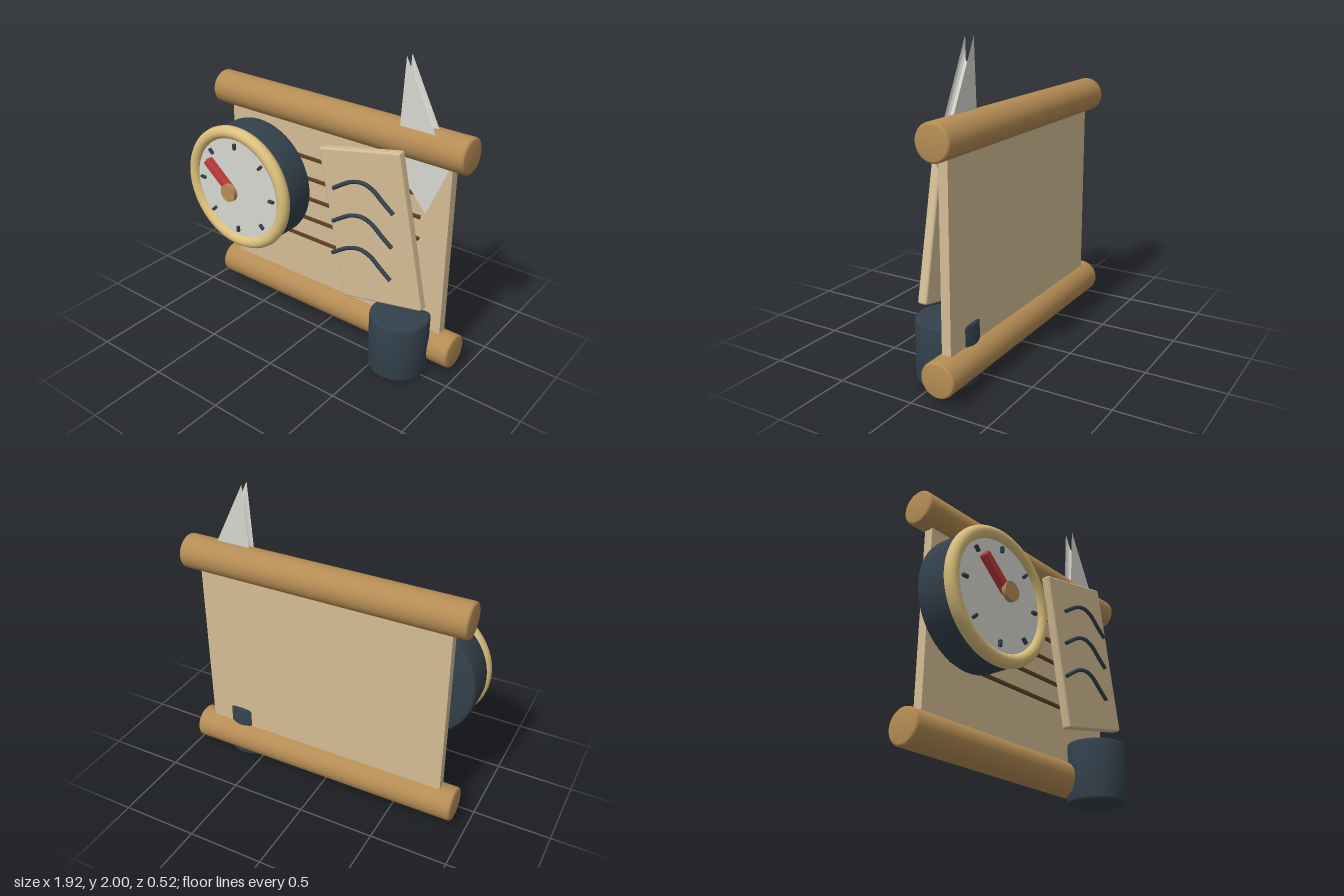
import * as THREE from 'three';
import { toCreasedNormals } from 'three/addons/utils/BufferGeometryUtils.js';
import { RoundedBoxGeometry } from 'three/addons/geometries/RoundedBoxGeometry.js';

const mat = (name, color, extra = {}) => {
  const m = new THREE.MeshStandardMaterial({ color, ...extra });
  m.name = name;
  return m;
};

// Cylinder with softened rims, axis along y, centred on the origin
function softCylinder(r, height, bevel, segments = 40) {
  const h = height / 2;
  const pts = [new THREE.Vector2(0, -h)];
  for (const s of [-1, 1]) {
    for (let i = 0; i <= 3; i++) {
      const a = (s < 0 ? i - 3 : i) * Math.PI / 6;
      pts.push(new THREE.Vector2(r - bevel + bevel * Math.cos(a), s * (h - bevel) + bevel * Math.sin(a)));
    }
  }
  pts.push(new THREE.Vector2(0, h));
  return toCreasedNormals(new THREE.LatheGeometry(pts, segments), 0.6);
}

// Kite-shaped blade with a groove running round its edge
function groovedBlade(outline, thickness, groove) {
  const cx = 0.67, cy = 1.4, rings = 6, n = outline.length;
  const pos = [], idx = [];
  for (let k = 0; k <= rings; k++) {
    const a = (k / rings) * Math.PI;
    const s = 1 - groove * Math.sin(a);
    const z = -Math.cos(a) * thickness / 2;
    for (const [x, y] of outline) pos.push(cx + (x - cx) * s, cy + (y - cy) * s, z);
  }
  for (let k = 0; k < rings; k++) {
    for (let i = 0; i < n; i++) {
      const a = k * n + i, b = k * n + (i + 1) % n;
      idx.push(a, b, b + n, a, b + n, a + n);
    }
  }
  const top = rings * n;
  for (let i = 1; i < n - 1; i++) idx.push(0, i + 1, i, top, top + i, top + i + 1);
  const g = new THREE.BufferGeometry();
  g.setAttribute('position', new THREE.Float32BufferAttribute(pos, 3));
  g.setIndex(idx);
  return toCreasedNormals(g, 0.5);
}

export function createModel() {
  const model = new THREE.Group();
  const wood = mat('wood', 0xb58c54);
  const parchment = mat('parchment', 0xd4bd94);
  const brass = mat('brass', 0xdcc07c);
  const slate = mat('slate', 0x33414c);
  const pale = mat('pale grey', 0xd6d7cf);
  const red = mat('red', 0xc03a3c);
  const ink = mat('brown ink', 0x5e4226);

  const add = (name, geometry, material, x = 0, y = 0, z = 0, parent = model) => {
    const mesh = new THREE.Mesh(geometry, material);
    mesh.name = name;
    mesh.position.set(x, y, z);
    parent.add(mesh);
    return mesh;
  };

  // Scroll: sheet, two rollers and ruled lines
  add('scrollSheet', new THREE.BoxGeometry(1.675, 1.34, 0.06), parchment, 0.022, 0.82, -0.15);
  const roller = softCylinder(0.11, 1.875, 0.015);
  for (const [name, y] of [['topRoller', 1.492], ['bottomRoller', 0.155]]) {
    add(name, roller, wood, 0.022, y, -0.15).rotation.z = Math.PI / 2;
  }
  for (let i = 0; i < 5; i++) {
    add('ruledLine', new THREE.BoxGeometry(1.32, 0.02, 0.016), ink, 0.02, 1.185 - i * 0.146, -0.1);
  }

  // Dial
  const dial = new THREE.Group();
  dial.name = 'dial';
  dial.position.set(-0.536, 0.958, 0);
  model.add(dial);
  add('dialBody', softCylinder(0.41, 0.22, 0.02, 56), slate, 0, 0, 0.03, dial).rotation.x = Math.PI / 2;
  add('dialRing', new THREE.TorusGeometry(0.384, 0.042, 16, 64), brass, 0, 0, 0.162, dial);
  add('dialFace', new THREE.CylinderGeometry(0.37, 0.37, 0.04, 56), pale, 0, 0, 0.153, dial).rotation.x = Math.PI / 2;
  for (let i = 0; i < 8; i++) {
    const a = i * Math.PI / 4;
    const tick = add('dialTick', new RoundedBoxGeometry(0.042, 0.02, 0.02, 1, 0.004), slate,
      Math.cos(a) * 0.298, Math.sin(a) * 0.298, 0.182, dial);
    tick.rotation.z = a;
  }
  const needle = add('dialNeedle', new RoundedBoxGeometry(0.26, 0.056, 0.052, 2, 0.012), red, -0.103, 0.086, 0.227, dial);
  needle.rotation.z = THREE.MathUtils.degToRad(140);
  add('dialHub', toCreasedNormals(new THREE.CylinderGeometry(0.06, 0.06, 0.03, 16), 0.6), wood, 0, 0, 0.25, dial)
    .rotation.x = Math.PI / 2;

  // Tilted tablet with three wavy strokes
  add('tablet', new RoundedBoxGeometry(0.582, 0.998, 0.062, 2, 0.014), parchment, 0.437, 0.947, 0.038)
    .rotation.z = 0.207;
  const wave = new THREE.CatmullRomCurve3([
    [0.19, 1.16], [0.245, 1.197], [0.32, 1.24], [0.4, 1.256], [0.47, 1.236], [0.55, 1.175], [0.62, 1.123],
  ].map(([x, y]) => new THREE.Vector3(x, y, 0.1)));
  for (let i = 0; i < 3; i++) {
    const y = -i * 0.224;
    add('wavyStroke', new THREE.TubeGeometry(wave, 32, 0.013, 8), slate, 0, y);
    for (const [t, turn] of [[0, Math.PI], [1, 0]]) {
      // Flat end of the stroke
      const p = wave.getPointAt(t), d = wave.getTangentAt(t).multiplyScalar(turn ? -1 : 1);
      add('strokeEnd', new THREE.CircleGeometry(0.013, 8), slate, p.x, p.y + y, p.z)
        .quaternion.setFromUnitVectors(new THREE.Vector3(0, 0, 1), d);
    }
  }

  // Quill blade and ink pot
  const kite = [[0.54, 2], [0.503, 1.33], [0.72, 1.08], [0.85, 1.39]];
  add('quill', groovedBlade(kite, 0.055, 0.23), pale, 0, 0, -0.118);
  add('inkPot', softCylinder(0.19, 0.39, 0.018), slate, 0.635, 0.195, -0.007);

  return model;
}
